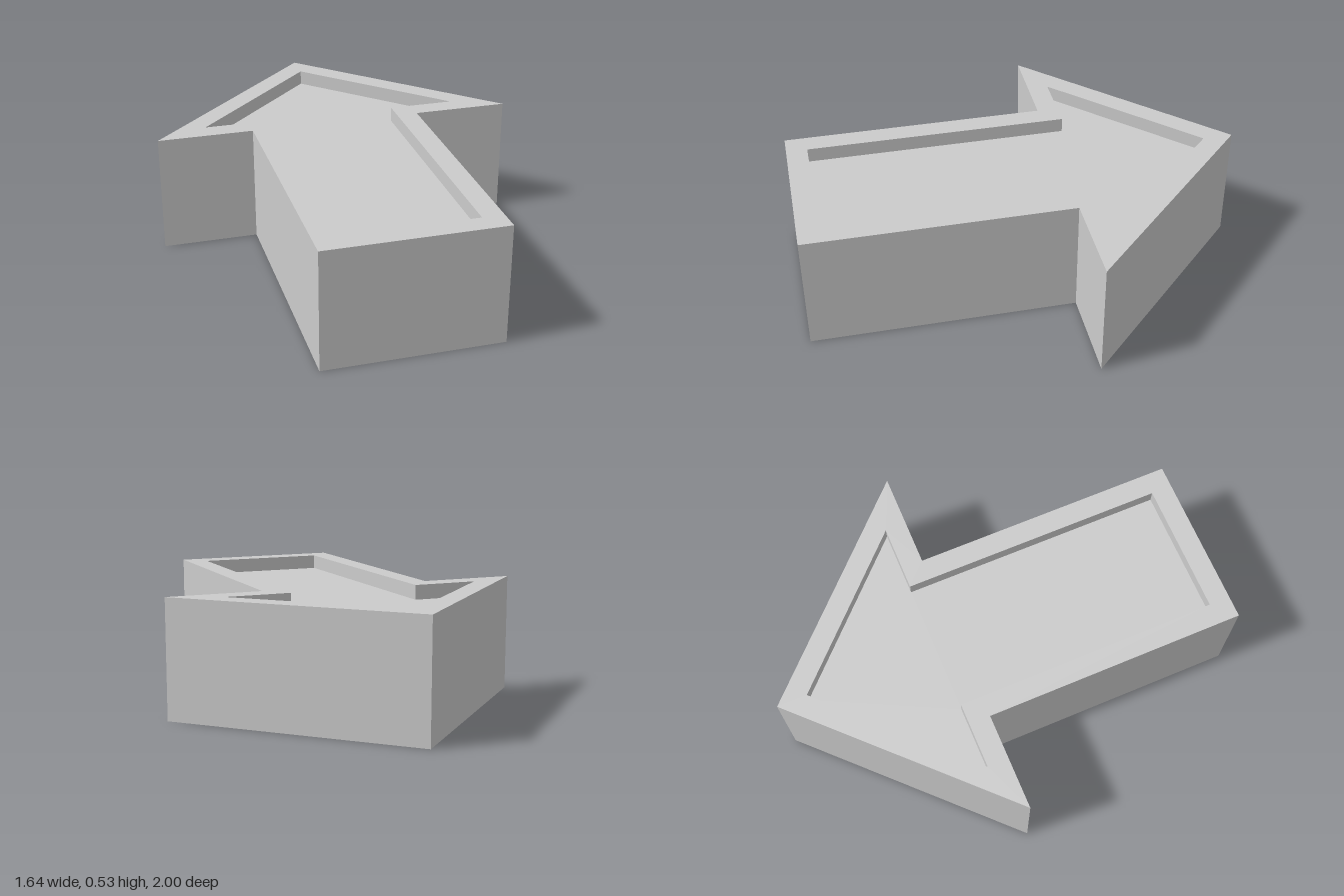
import * as THREE from 'three';

const HEIGHT = 0.53;
const RECESS = 0.066;
const RIM = 0.095;

// Arrow outline pointing to -z (shape y = -z), moved inwards by an even inset
function arrowPoints(inset) {
  const shaft = 0.39 - inset;
  const tail = -1 + inset;
  const notch = 0.18 + inset;
  const tip = 1 - inset * Math.SQRT2;
  const wing = tip - notch; // head edges slope at 45 degrees
  const half = [[shaft, tail], [shaft, notch], [wing, notch]];
  const mirrored = half.map(([x, y]) => [-x, y]).reverse();
  return [...half, [0, tip], ...mirrored].map(([x, y]) => new THREE.Vector2(x, y));
}

// Extrude a flat shape upwards from the given height
function slab(name, shape, bottom, height, material) {
  const geometry = new THREE.ExtrudeGeometry(shape, { depth: height, bevelEnabled: false });
  geometry.rotateX(-Math.PI / 2);
  geometry.translate(0, bottom, 0);
  const mesh = new THREE.Mesh(geometry, material);
  mesh.name = name;
  return mesh;
}

export function createModel() {
  const model = new THREE.Group();
  model.name = 'arrowSign';
  const material = new THREE.MeshStandardMaterial({ color: 0xcccccc, flatShading: true });

  // Full-height rim around the arrow
  const rim = new THREE.Shape(arrowPoints(0));
  rim.holes.push(new THREE.Path(arrowPoints(RIM)));
  model.add(slab('rim', rim, 0, HEIGHT, material));

  // Inner panel, recessed on both the top and the bottom
  const panel = new THREE.Shape(arrowPoints(RIM));
  model.add(slab('recessedPanel', panel, RECESS, HEIGHT - 2 * RECESS, material));

  return model;
}
